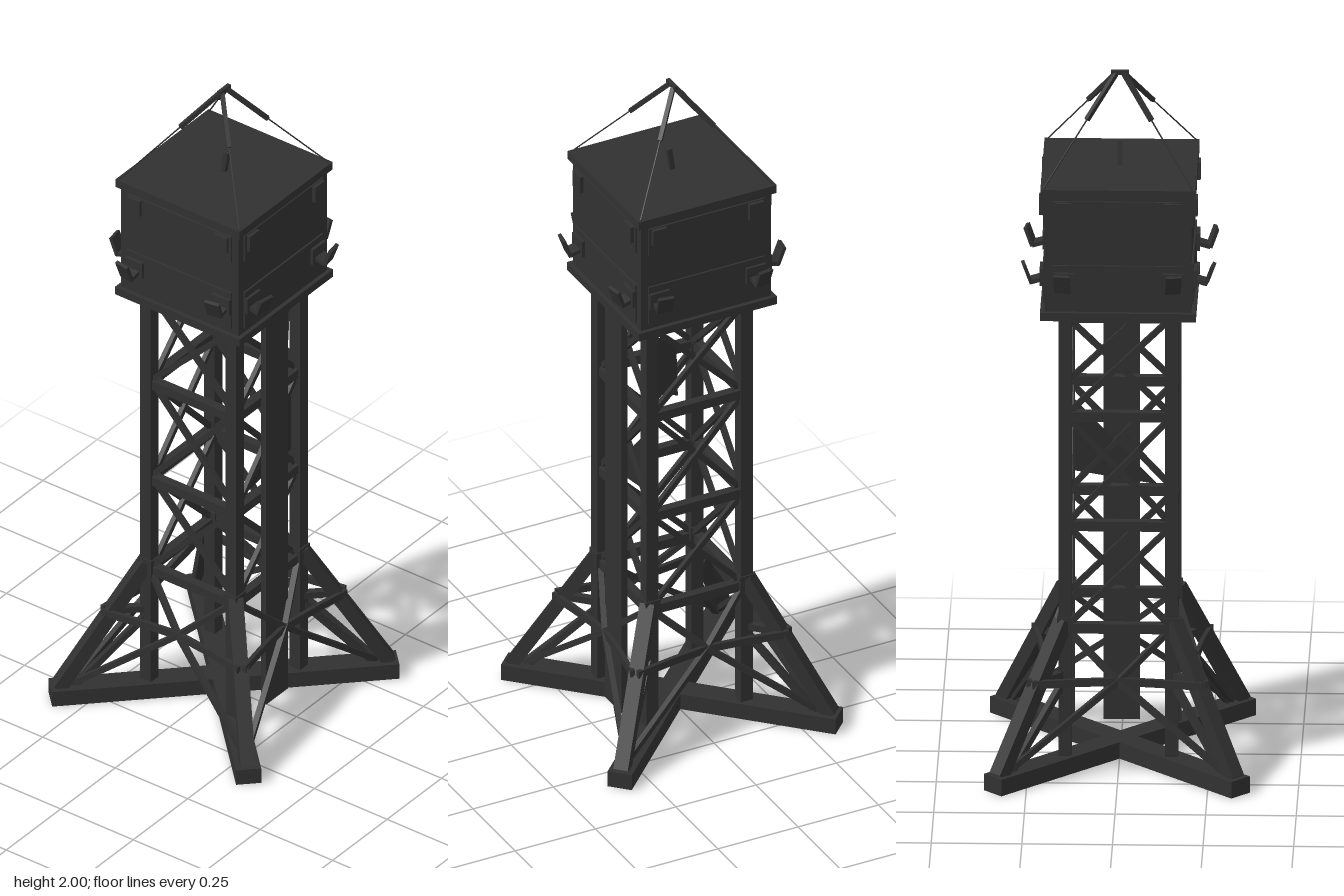
import * as THREE from 'three';

const steel = new THREE.MeshStandardMaterial({ color: 0x313131 });
steel.name = 'darkSteel';
const sheet = new THREE.MeshStandardMaterial({ color: 0x2d2d2d, side: THREE.DoubleSide });
sheet.name = 'darkSheet';

const V = (x, y, z) => new THREE.Vector3(x, y, z);
const UP = V(0, 1, 0);

export function createModel() {
  const root = new THREE.Group();
  root.name = 'latticeTower';

  const add = (parent, name, geo, mat = steel) => {
    const m = new THREE.Mesh(geo, mat);
    m.name = name;
    parent.add(m);
    return m;
  };
  const box = (parent, name, w, h, d, x, y, z) => {
    const m = add(parent, name, new THREE.BoxGeometry(w, h, d));
    m.position.set(x, y, z);
    return m;
  };
  // Rectangular bar running from a to b, in the parent's own frame
  const bar = (parent, name, a, b, w, d = w) => {
    const m = add(parent, name, new THREE.BoxGeometry(w, d, a.distanceTo(b)));
    m.position.copy(a).add(b).multiplyScalar(0.5);
    m.quaternion.setFromRotationMatrix(new THREE.Matrix4().lookAt(b, a, UP));
    return m;
  };
  // Flat plate from a few corners
  const plate = (parent, name, pts) => {
    const g = new THREE.BufferGeometry().setFromPoints(pts);
    g.setIndex(pts.length === 3 ? [0, 1, 2] : [0, 1, 2, 0, 2, 3]);
    g.computeVertexNormals();
    return add(parent, name, g, sheet);
  };

  const R = 0.147;                              // post distance from the axis
  const levels = [0.05, 0.42, 0.72, 1.04, 1.33];

  // Posts, splayed legs and ground beams, one set per corner
  for (const sx of [-1, 1]) for (const sz of [-1, 1]) {
    const corner = new THREE.Group();
    corner.name = 'cornerFrame';
    root.add(corner);
    const P = (r, y) => V(sx * r, y, sz * r);
    box(corner, 'post', 0.036, 1.34, 0.036, sx * R, 0.67, sz * R);
    bar(corner, 'groundBeam', P(0, 0.025), P(0.342, 0.025), 0.07, 0.048);
    bar(corner, 'legStrut', P(0.325, 0.045), P(0.152, 0.44), 0.042, 0.038);
    bar(corner, 'legTie', P(R, 0.285), P(0.225, 0.285), 0.02);
    bar(corner, 'legBrace', P(R, 0.27), P(0.29, 0.05), 0.018);
    box(corner, 'collar', 0.044, 0.05, 0.044, sx * R, 0.43, sz * R);
  }

  // Lattice on the four faces
  for (let k = 0; k < 4; k++) {
    const face = new THREE.Group();
    face.name = 'latticeFace';
    face.rotation.y = k * Math.PI / 2;
    root.add(face);
    for (let i = 1; i < levels.length; i++) {
      const y0 = levels[i - 1], y1 = levels[i];
      bar(face, 'crossBar', V(-R, y1, R), V(R, y1, R), 0.026, 0.028);
      if (i > 1) {
        bar(face, 'diagonal', V(-R, y0, R), V(R, y1, R), 0.014, 0.016);
        bar(face, 'diagonal', V(R, y0, R - 0.01), V(-R, y1, R - 0.01), 0.014, 0.016);
      }
      for (const s of [-1, 1]) {
        plate(face, 'gusset', [V(s * R, y1 + 0.04, R), V(s * 0.095, y1, R), V(s * R, y1 - 0.04, R)]);
      }
    }
    // Bowed ring and braces between neighbouring legs
    const mid = V(0, 0.285, 0.21);
    for (const s of [-1, 1]) {
      const bow = V(s * 0.12, 0.285, 0.225);
      bar(face, 'legRing', V(s * 0.235, 0.285, 0.245), bow, 0.012, 0.022);
      bar(face, 'legRing', bow, mid, 0.012, 0.022);
      bar(face, 'lowerBrace', V(s * 0.3, 0.05, 0.3), mid, 0.016);
      bar(face, 'upperBrace', mid, V(s * R, 0.42, R), 0.016);
    }
  }

  // Long front cover and loose sheets in the lattice
  box(root, 'frontCover', 0.1, 1.31, 0.018, 0, 0.695, 0.174);
  plate(root, 'looseSheet', [V(0.14, 1.0, 0.135), V(0.14, 0.78, 0.135), V(-0.1, 0.74, 0.135)]);
  plate(root, 'sideSheet', [V(0.14, 1.29, 0.125), V(0.14, 1.25, 0.06), V(0.14, 1.08, 0.055), V(0.14, 1.1, 0.115)]);

  // Cabin with deck and rim
  const cabin = new THREE.Group();
  cabin.name = 'cabin';
  root.add(cabin);
  box(cabin, 'deck', 0.43, 0.024, 0.43, 0, 1.352, 0);
  box(cabin, 'body', 0.405, 0.35, 0.405, 0, 1.535, 0);
  box(cabin, 'roof', 0.428, 0.025, 0.428, 0, 1.711, 0);
  for (let k = 0; k < 4; k++) {
    const side = new THREE.Group();
    side.name = 'cabinSide';
    side.rotation.y = k * Math.PI / 2;
    cabin.add(side);
    box(side, 'upperPanel', 0.36, 0.085, 0.008, 0, 1.645, 0.204);
    box(side, 'lowerPanel', 0.36, 0.12, 0.008, 0, 1.44, 0.204);
    for (const s of [-1, 1]) {
      box(side, 'upperBracket', 0.045, 0.05, 0.016, s * 0.15, 1.66, 0.211);
      box(side, 'lowerBracket', 0.06, 0.05, 0.014, s * 0.15, 1.455, 0.21);
      // Upturned hook
      bar(side, 'hookArm', V(s * 0.15, 1.45, 0.2), V(s * 0.152, 1.437, 0.245), 0.04, 0.012);
      bar(side, 'hookTip', V(s * 0.152, 1.435, 0.243), V(s * 0.155, 1.488, 0.262), 0.045, 0.01);
    }
  }

  // Lifting cables: thick near the top, thin toward the corners
  const rig = new THREE.Group();
  rig.name = 'liftingRig';
  root.add(rig);
  for (const sx of [-1, 1]) for (const sz of [-1, 1]) {
    const top = V(sx * 0.012, 1.99, sz * 0.003);
    const end = V(sx * 0.205, 1.725, sz * 0.205);
    const joint = top.clone().lerp(end, 0.4);
    bar(rig, 'upperCable', top, joint, 0.012);
    bar(rig, 'lowerCable', joint, end, 0.003);
  }
  box(rig, 'topRing', 0.05, 0.012, 0.012, 0, 1.994, 0);
  bar(rig, 'roofLug', V(0, 1.72, 0), V(0, 1.79, 0.01), 0.014);

  return root;
}
